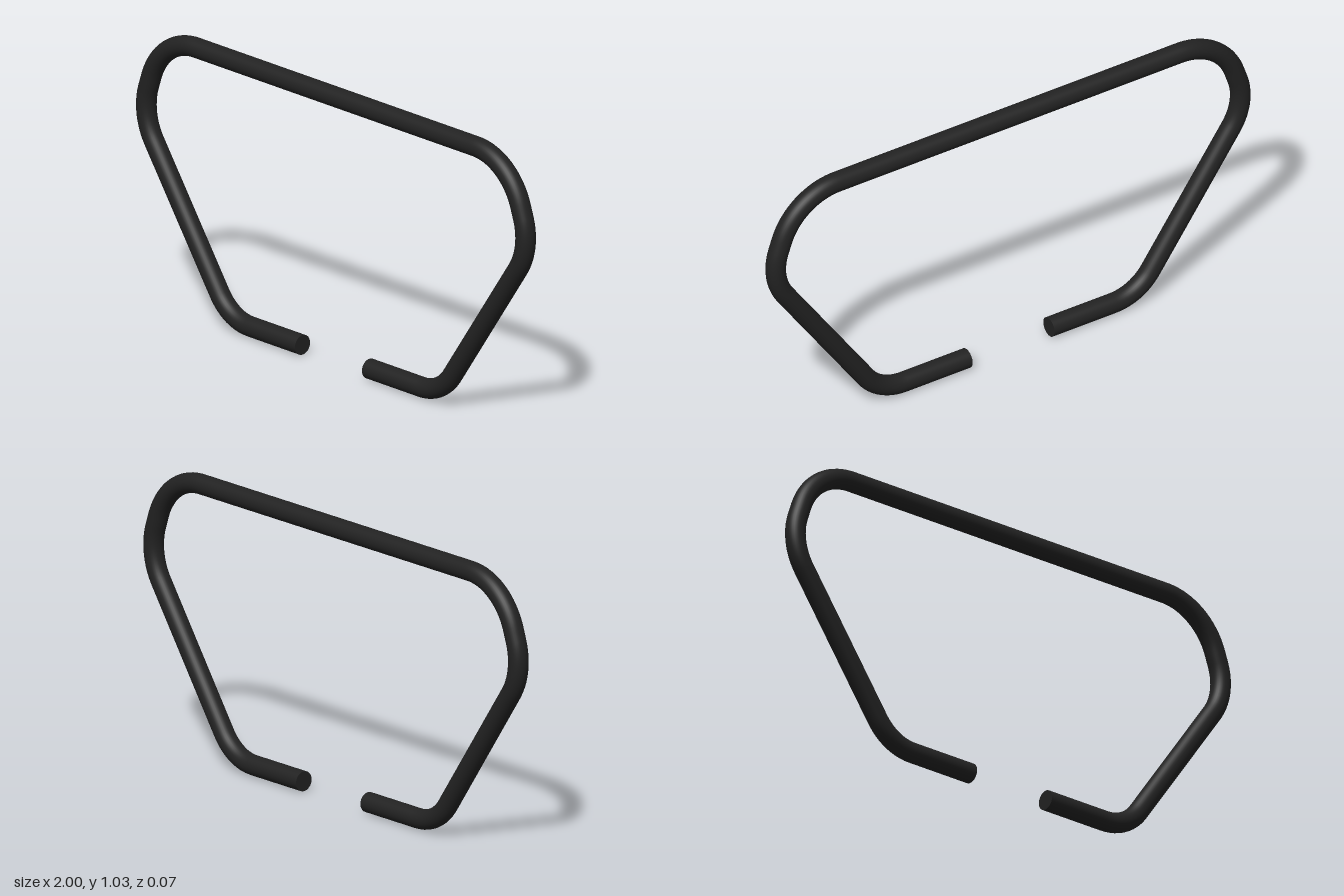
import * as THREE from 'three';

const RADIUS = 0.036;
const END_X = 0.17;
const BOTTOM_Y = RADIUS;

// Half of the bent outline: sharp corner [x, y] and its bend radius
const CORNERS = [
  [0.534, BOTTOM_Y, 0.19],
  [0.988, 0.685, 0.216],
  [0.882, 0.992, 0.241],
];

// Straight runs joined by circular bends
function bentPath(start, corners, end) {
  const path = new THREE.CurvePath();
  let from = start;
  corners.forEach(([x, y, r], i) => {
    const corner = new THREE.Vector3(x, y, 0);
    const next = i + 1 < corners.length
      ? new THREE.Vector3(corners[i + 1][0], corners[i + 1][1], 0) : end;
    const dirIn = corner.clone().sub(from).normalize();
    const dirOut = next.clone().sub(corner).normalize();
    const turn = dirIn.angleTo(dirOut);
    const setback = r * Math.tan(turn / 2);
    const handle = (4 / 3) * Math.tan(turn / 4) * r;
    const a = corner.clone().addScaledVector(dirIn, -setback);
    const b = corner.clone().addScaledVector(dirOut, setback);
    path.add(new THREE.LineCurve3(from, a));
    path.add(new THREE.CubicBezierCurve3(
      a, a.clone().addScaledVector(dirIn, handle),
      b.clone().addScaledVector(dirOut, -handle), b));
    from = b;
  });
  path.add(new THREE.LineCurve3(from, end));
  return path;
}

export function createModel() {
  const group = new THREE.Group();
  group.name = 'bentBar';
  const black = new THREE.MeshStandardMaterial({ color: 0x222222 });
  black.name = 'matte black';

  // One continuous round bar, mirrored about x = 0
  const mirrored = CORNERS.map(([x, y, r]) => [-x, y, r]).reverse();
  const path = bentPath(
    new THREE.Vector3(END_X, BOTTOM_Y, 0),
    [...CORNERS, ...mirrored],
    new THREE.Vector3(-END_X, BOTTOM_Y, 0));
  path.arcLengthDivisions = 800;
  const bar = new THREE.Mesh(new THREE.TubeGeometry(path, 260, RADIUS, 32, false), black);
  bar.name = 'bar';
  group.add(bar);

  // Flat ends facing each other across the gap
  for (const side of [1, -1]) {
    const cap = new THREE.Mesh(new THREE.CircleGeometry(RADIUS, 32), black);
    cap.name = side > 0 ? 'leftEnd' : 'rightEnd';
    cap.position.set(side * END_X, BOTTOM_Y, 0);
    cap.rotation.y = -side * Math.PI / 2;
    group.add(cap);
  }
  return group;
}
